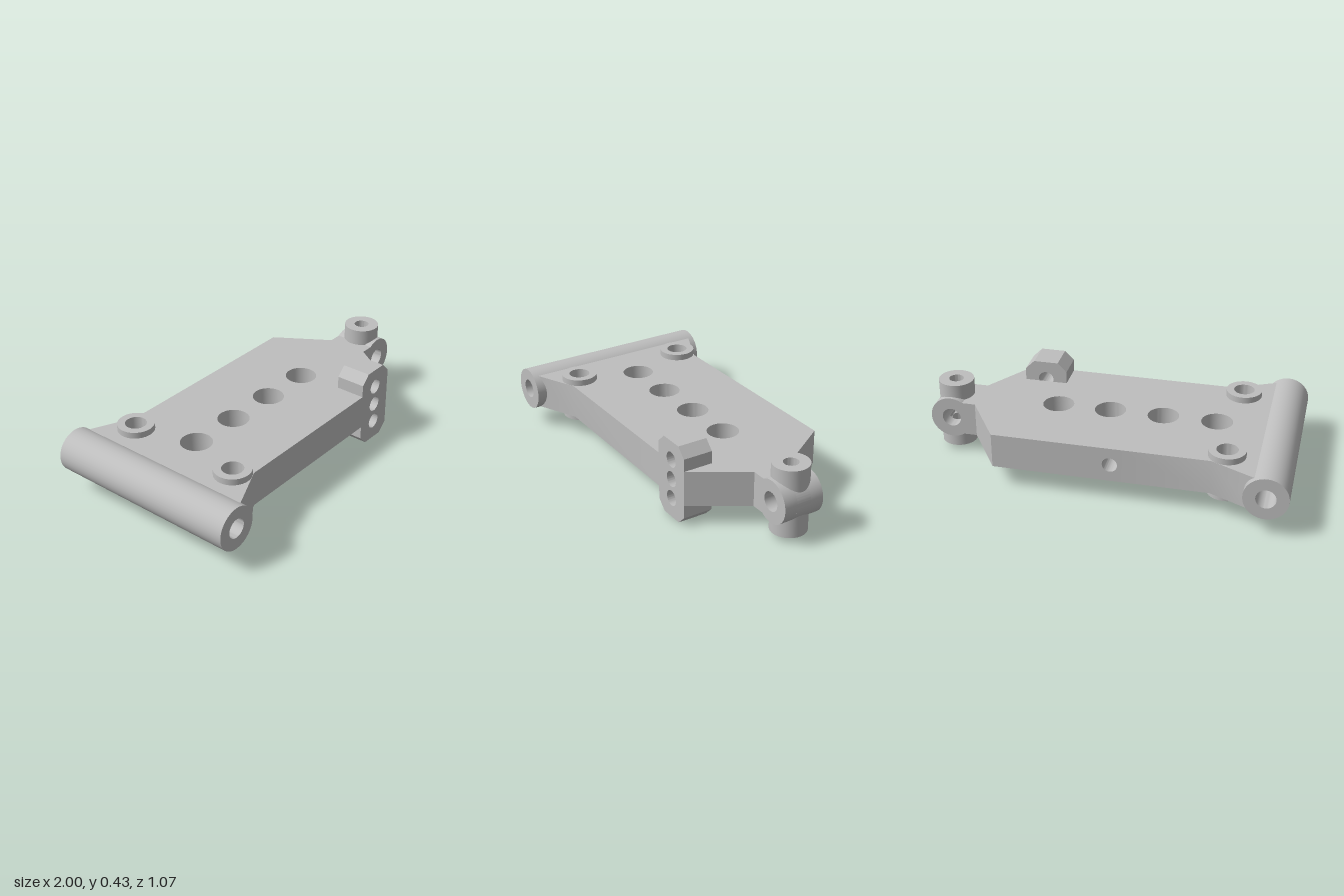
import * as THREE from 'three';
import { toCreasedNormals } from 'three/addons/utils/BufferGeometryUtils.js';

const MID = 0.217; // height of the arm's centre plane

const circle = (x, y, r) => new THREE.Path().absarc(x, y, r, 0, Math.PI * 2, true);
const polygon = (pts) => new THREE.Shape(pts.map(([x, y]) => new THREE.Vector2(x, y)));
const ring = (outer, inner) => {
  const s = new THREE.Shape().absarc(0, 0, outer, 0, Math.PI * 2, false);
  s.holes.push(circle(0, 0, inner));
  return s;
};
const extrude = (shape, depth) => toCreasedNormals(
  new THREE.ExtrudeGeometry(shape, { depth, bevelEnabled: false, curveSegments: 24 }), 0.5);

export function createModel() {
  const model = new THREE.Group();
  model.name = 'suspensionArm';
  const grey = new THREE.MeshStandardMaterial({ color: 0xbebebe });
  grey.name = 'grey';

  const add = (name, geometry, x = 0, y = 0, z = 0) => {
    const mesh = new THREE.Mesh(geometry, grey);
    mesh.name = name;
    mesh.position.set(x, y, z);
    model.add(mesh);
    return mesh;
  };
  // Shape in x/y, extruded from z0 to z1
  const alongZ = (name, shape, z0, z1, x = 0, y = 0) => add(name, extrude(shape, z1 - z0), x, y, z0);
  // Shape in x/-z, extruded from y0 to y1
  const alongY = (name, shape, y0, y1, x = 0, z = 0) =>
    add(name, extrude(shape, y1 - y0).rotateX(-Math.PI / 2), x, y0, z);

  // Flat plate, notched for the shock bracket and the drilled insert
  const low = 0.122, high = 0.313;
  const outline = [
    [-0.83, 0.512], [-0.59, 0.4], [0.325, 0.4], [0.325, 0.238], [0.56, 0.238], [0.56, 0.4],
    [0.745, 0.113], [0.829, 0.113], [0.829, -0.113], [0.745, -0.113], [0.56, -0.4],
    [-0.02, -0.4], [-0.02, -0.2], [-0.12, -0.2], [-0.12, -0.4], [-0.59, -0.4], [-0.83, -0.512],
  ].map(([x, z]) => [x, -z]);
  const plate = polygon(outline);
  for (const x of [-0.56, -0.272, 0.017, 0.305]) plate.holes.push(circle(x, 0, 0.084));
  for (const z of [-0.325, 0.325]) plate.holes.push(circle(-0.66, z, 0.075));
  alongY('plate', plate, low, high);

  // Small blind hole in the rear edge
  const insert = polygon([[-0.12, low], [-0.02, low], [-0.02, high], [-0.12, high]]);
  insert.holes.push(circle(-0.07, MID, 0.04));
  alongZ('rearEdgeHole', insert, -0.4, -0.2);

  // Long hinge tube
  alongZ('hingeTube', ring(0.116, 0.052), -0.537, 0.537, -0.884, MID);

  // Raised bosses beside the hinge
  for (const z of [-0.325, 0.325]) alongY('boss', ring(0.097, 0.056), 0.1, 0.347, -0.66, z);

  // Chamfered shock bracket with three holes
  const a = 0.325, b = 0.56, c = 0.05, top = 0.431;
  const bracket = polygon([
    [a + c, 0], [b - c, 0], [b, c], [b, top - c], [b - c, top], [a + c, top], [a, top - c], [a, c],
  ]);
  for (const y of [0.108, MID, 0.327]) bracket.holes.push(circle(0.443, y, 0.042));
  alongZ('shockBracket', bracket, 0.238, 0.4);

  // Outer eyelet: two end rings and a slotted middle that lets the upright bore pass
  const ex = 0.883, outer = 0.116, inner = 0.052, slot = 0.04;
  alongZ('eyeletFront', ring(outer, inner), slot, 0.113, ex, MID);
  alongZ('eyeletBack', ring(outer, inner), -0.113, -slot, ex, MID);
  const a1 = Math.acos(slot / outer), a2 = Math.acos(slot / inner);
  for (const turn of [0, Math.PI]) {
    const half = new THREE.Shape();
    half.absarc(0, 0, outer, turn - a1, turn + a1, false);
    half.absarc(0, 0, inner, turn + a2, turn - a2, true);
    alongZ('eyeletMiddle', half, -slot, slot, ex, MID);
  }

  // Upright pivot stubs above and below the eyelet bore
  alongY('upperPivot', ring(0.096, slot), MID + 0.053, 0.402, ex);
  alongY('lowerPivot', ring(0.096, slot), 0.032, MID - 0.053, ex);

  return model;
}
